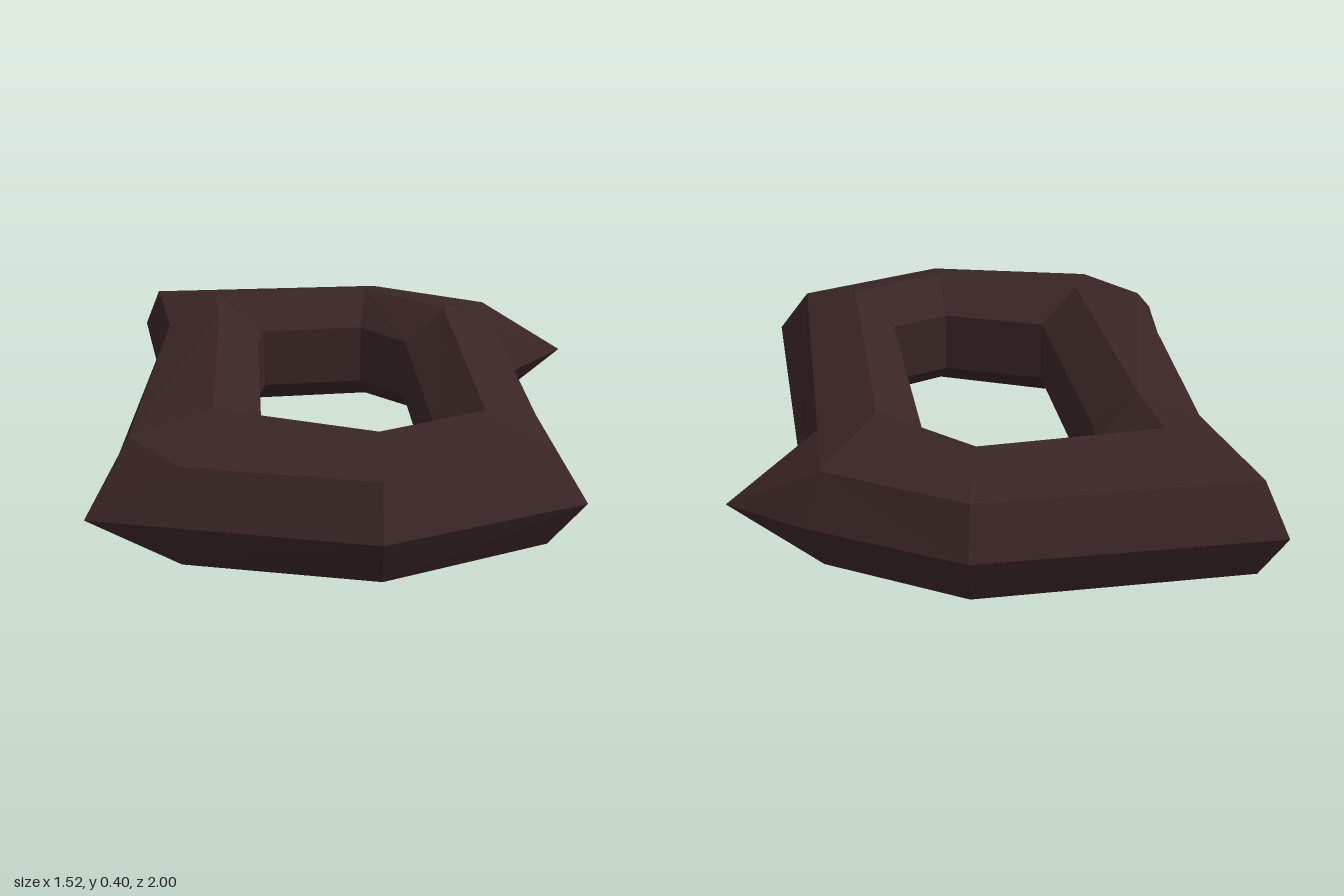
import * as THREE from 'three';

export function createModel() {
  const group = new THREE.Group();
  group.name = 'facetedRing';
  const darkBrown = new THREE.MeshStandardMaterial({ color: 0x3a2525 });
  darkBrown.name = 'darkBrown';
  darkBrown.flatShading = true;

  // Corners of the ring, each as [x, z] of rim, shoulder, crest and hole edge.
  const spike = [[0.49, -0.715], [0.5, -0.45], [0.33, -0.46], [0.195, -0.39]];
  const front = [[-0.465, 0.81], [-0.625, 0.59], [-0.39, 0.52], [-0.26, 0.43]];
  const stations = [
    [[-0.76, -0.94], [-0.7, -0.87], [-0.47, -0.64], [-0.295, -0.515]], // back right
    [[0.11, -1], [0.1, -0.935], [0.065, -0.71], [0.045, -0.56]], // back peak
    [[0.545, -0.765], spike[0], spike[2], spike[3]], // side spike
    [[0.76, -0.61], spike[0], spike[2], spike[3]],
    [[0.56, -0.36], spike[1], spike[2], spike[3]],
    [[0.65, 0.74], [0.55, 0.69], [0.38, 0.54], [0.25, 0.455]], // front left
    [[0.08, 1], [0.08, 0.92], [0.075, 0.7], [0.065, 0.545]], // front peak
    [[-0.72, 0.835], front[0], front[2], front[3]], // front right point
    [[-0.69, 0.43], front[1], front[2], front[3]],
    [[-0.665, -0.45], [-0.615, -0.45], [-0.44, -0.39], [-0.31, -0.395]],
  ];

  // Closed cross-section, mirrored about y = 0.2.
  const heights = [0.2, 0.345, 0.4, 0.3];
  const sections = stations.map((s) => {
    const at = (k, y) => new THREE.Vector3(s[k][0], y, s[k][1]);
    const upper = heights.map((y, k) => at(k, y));
    const lower = [3, 2, 1].map((k) => at(k, 0.4 - heights[k]));
    return [...upper, ...lower];
  });

  // Join neighbouring sections, leaving out collapsed triangles.
  const points = [];
  const triangle = (a, b, c) => {
    if (a.equals(b) || b.equals(c) || c.equals(a)) return;
    points.push(a, b, c);
  };
  sections.forEach((a, j) => {
    const b = sections[(j + 1) % sections.length];
    for (let k = 0; k < a.length; k++) {
      const n = (k + 1) % a.length;
      if (k < 3) {
        triangle(a[k], b[n], b[k]);
        triangle(a[k], a[n], b[n]);
      } else {
        triangle(a[k], a[n], b[k]);
        triangle(a[n], b[n], b[k]);
      }
    }
  });
  const geometry = new THREE.BufferGeometry().setFromPoints(points);
  geometry.computeVertexNormals();

  const ring = new THREE.Mesh(geometry, darkBrown);
  ring.name = 'ringBody';
  group.add(ring);
  return group;
}
